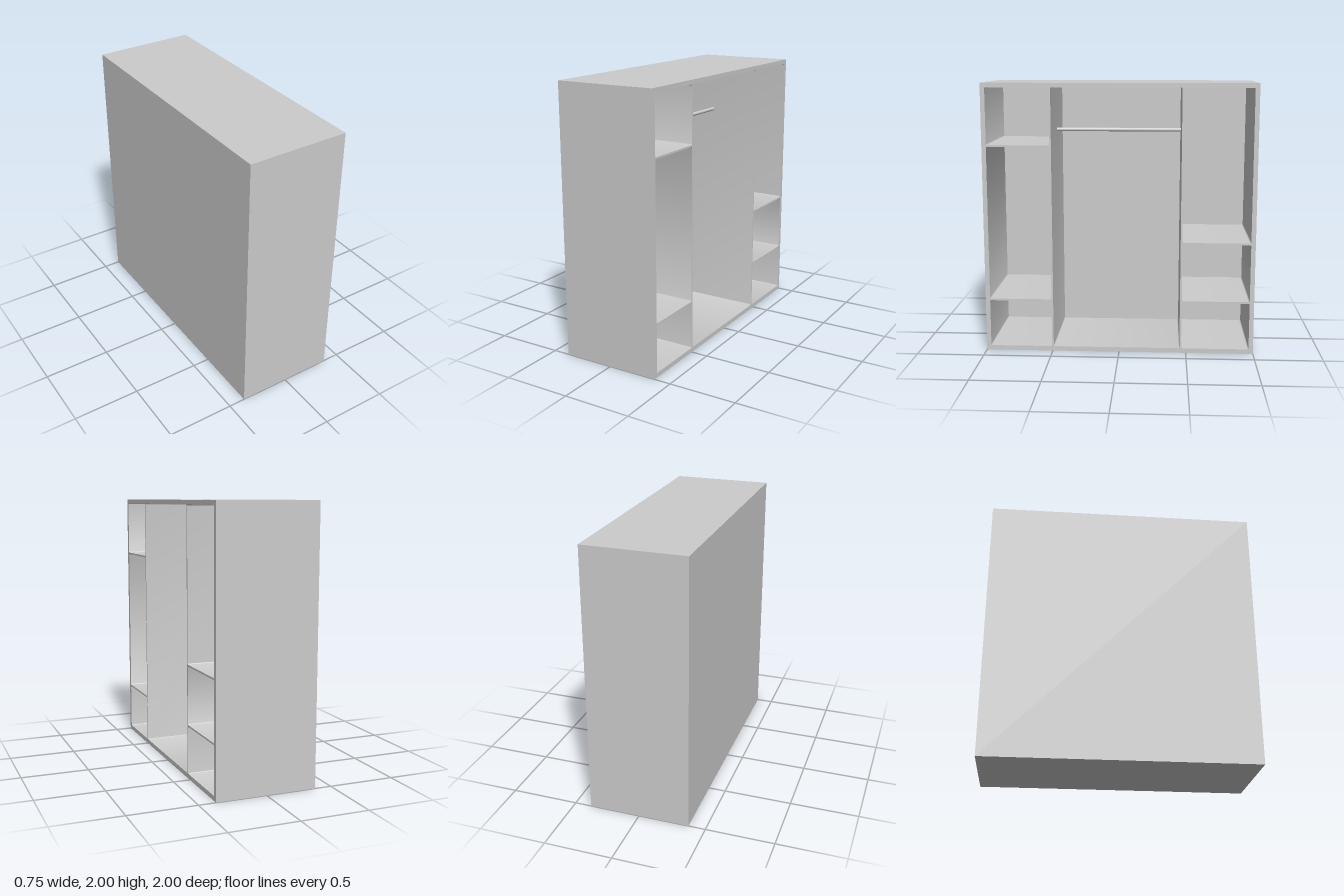
import * as THREE from 'three';
import { toCreasedNormals } from 'three/addons/utils/BufferGeometryUtils.js';

const WIDTH = 2, HEIGHT = 2, DEPTH = 0.75, BACK = 0.03;
const FLOOR = 0.035, CEILING = 1.967;

// Each bay: its two z limits and the solid shelves in it as [bottom, top]
const BAYS = [
  { z: [0.967, 0.505], shelves: [[0.387, 0.4], [1.539, 1.552]] },
  { z: [0.492, -0.453], shelves: [] },
  { z: [-0.466, -0.967], shelves: [[0.387, 0.4], [0.829, 0.842]] },
];

// Rounded rectangular opening
function opening(x0, x1, y0, y1, r = 0.008) {
  const p = new THREE.Path();
  p.moveTo(x0 + r, y0);
  p.lineTo(x1 - r, y0);
  p.absarc(x1 - r, y0 + r, r, -Math.PI / 2, 0);
  p.lineTo(x1, y1 - r);
  p.absarc(x1 - r, y1 - r, r, 0, Math.PI / 2);
  p.lineTo(x0 + r, y1);
  p.absarc(x0 + r, y1 - r, r, Math.PI / 2, Math.PI);
  p.lineTo(x0, y0 + r);
  p.absarc(x0 + r, y0 + r, r, Math.PI, Math.PI * 1.5);
  return p;
}

export function createModel() {
  const group = new THREE.Group();
  group.name = 'openWardrobe';
  const material = new THREE.MeshStandardMaterial({ color: 0xcccccc });
  const add = (name, geometry, x, y, z) => {
    const mesh = new THREE.Mesh(geometry, material);
    mesh.name = name;
    mesh.position.set(x, y, z);
    group.add(mesh);
    return mesh;
  };

  // Outer frame, dividers and shelves: one slab with the compartments cut out
  const outline = new THREE.Shape();
  outline.moveTo(-WIDTH / 2, 0);
  outline.lineTo(WIDTH / 2, 0);
  outline.lineTo(WIDTH / 2, HEIGHT);
  outline.lineTo(-WIDTH / 2, HEIGHT);
  outline.closePath();
  for (const { z, shelves } of BAYS) {
    const levels = [FLOOR, ...shelves.flat(), CEILING];
    for (let i = 0; i < levels.length; i += 2) {
      outline.holes.push(opening(-z[0], -z[1], levels[i], levels[i + 1]));
    }
  }
  const frame = new THREE.ExtrudeGeometry(outline, {
    depth: DEPTH - BACK, bevelEnabled: false, curveSegments: 4,
  });
  frame.rotateY(Math.PI / 2); // openings face +x
  add('frameWithShelves', toCreasedNormals(frame, 0.6), -DEPTH / 2 + BACK, 0, 0);

  // Back panel closing the -x side
  add('backPanel', new THREE.BoxGeometry(BACK, HEIGHT, WIDTH),
    -DEPTH / 2 + BACK / 2, HEIGHT / 2, 0);

  // Hanging rail across the middle bay
  const [z0, z1] = BAYS[1].z;
  const rail = new THREE.CylinderGeometry(0.0135, 0.0135, z0 - z1, 24);
  rail.rotateX(Math.PI / 2);
  add('hangingRail', rail, 0, 1.638, (z0 + z1) / 2);

  return group;
}
